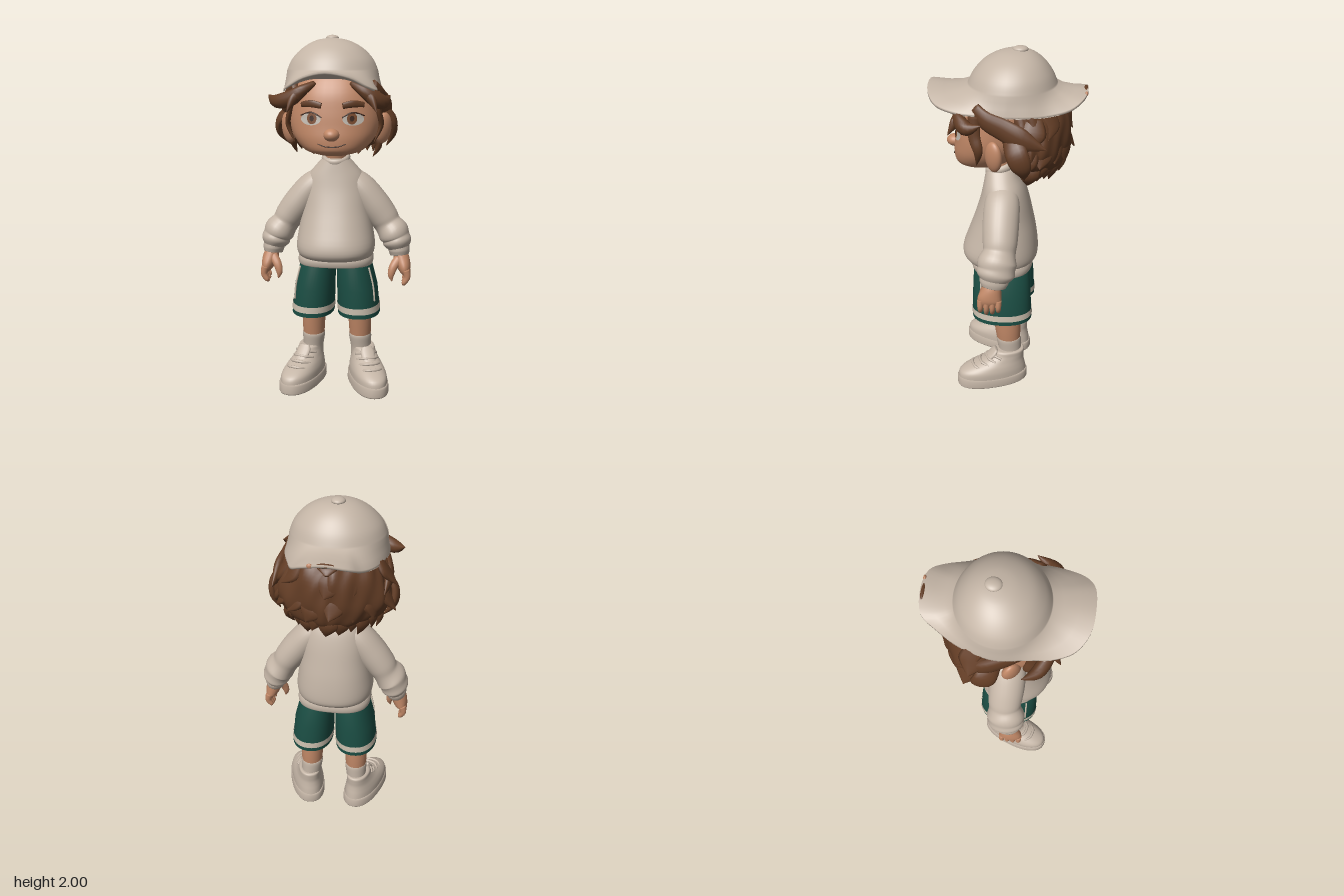
import * as THREE from 'three';

const mat = (name, color, side = THREE.FrontSide) => {
  const m = new THREE.MeshStandardMaterial({ color, side });
  m.name = name;
  return m;
};

// smooth resampling of rows of numbers
function spline(rows, n) {
  const out = [], last = rows.length - 1;
  for (let k = 0; k <= n; k++) {
    const u = (k / n) * last, i = Math.min(Math.floor(u), last - 1), t = u - i;
    const [a, b, c, d] = [rows[Math.max(i - 1, 0)], rows[i], rows[i + 1], rows[Math.min(i + 2, last)]];
    out.push(b.map((q, j) => 0.5 * (2 * q + (c[j] - a[j]) * t + (2 * a[j] - 5 * q + 4 * c[j] - d[j]) * t * t
      + (3 * q - a[j] - 3 * c[j] + d[j]) * t * t * t)));
  }
  return out;
}

// surface through closed loops of points, optionally capped
function skinLoops(loops, caps = true) {
  const n = loops[0].length, pos = loops.flat().flatMap((p) => [p.x, p.y, p.z]), idx = [];
  for (let i = 0; i < loops.length - 1; i++) for (let j = 0; j < n; j++) {
    const a = i * n + j, b = i * n + (j + 1) % n;
    idx.push(a, b, b + n, a, b + n, a + n);
  }
  if (caps) [0, loops.length - 1].forEach((r) => {
    const c = loops[r].reduce((s, p) => s.add(p), new THREE.Vector3()).divideScalar(n), k = pos.length / 3;
    pos.push(c.x, c.y, c.z);
    for (let j = 0; j < n; j++) {
      const a = r * n + j, b = r * n + (j + 1) % n;
      idx.push(k, ...(r ? [a, b] : [b, a]));
    }
  });
  const g = new THREE.BufferGeometry();
  g.setAttribute('position', new THREE.Float32BufferAttribute(pos, 3));
  g.setIndex(idx);
  g.computeVertexNormals();
  return g;
}

// stacked horizontal sections, rows are [y, centreX, centreZ, radiusX, radiusZ]
function loft(rows, { n = 28, power = 2, seg = 40, caps = true, ripple = () => 1 } = {}) {
  const pw = (v) => Math.sign(v) * Math.abs(v) ** (2 / power);
  return skinLoops((n ? spline(rows, n) : rows).map(([y, cx, cz, rx, rz]) => Array.from({ length: seg }, (_, j) => {
    const t = (j / seg) * Math.PI * 2, k = ripple(t, y);
    return new THREE.Vector3(cx + rx * k * pw(Math.cos(t)), y, cz - rz * k * pw(Math.sin(t)));
  })), caps);
}

// tapered sweep, rows are [x, y, z, radiusAlongRef, radiusAcross]
function sweep(rows, { ref = [1, 0, 0], n = 16, seg = 14 } = {}) {
  const s = spline(rows, n), p = s.map((r) => new THREE.Vector3(r[0], r[1], r[2])), R = new THREE.Vector3(...ref);
  return skinLoops(s.map((r, i) => {
    const T = p[Math.min(i + 1, n)].clone().sub(p[Math.max(i - 1, 0)]).normalize();
    const N = R.clone().addScaledVector(T, -R.dot(T)).normalize(), B = T.clone().cross(N);
    return Array.from({ length: seg }, (_, j) => {
      const t = (j / seg) * Math.PI * 2;
      return p[i].clone().addScaledVector(N, r[3] * Math.cos(t)).addScaledVector(B, r[4] * Math.sin(t));
    });
  }));
}

const ball = (x, y, z, a, b, c) => new THREE.SphereGeometry(1, 28, 20).scale(a, b, c).translate(x, y, z);

export function createModel() {
  const cream = mat('cream cloth', 0xc4b5a6), skin = mat('skin', 0xc08766), brown = mat('brown hair', 0x633d25);
  const green = mat('green cloth', 0x1b4e44), white = mat('eye white', 0xbfb8ae), iris = mat('iris', 0x7a4a2c);
  const dark = mat('dark line', 0x3a241a), trim = mat('trim', 0xcbbfae, THREE.DoubleSide);
  const root = new THREE.Group();
  const add = (name, geo, m, parent = root) => {
    const o = new THREE.Mesh(geo, m);
    o.name = name;
    parent.add(o);
    return o;
  };
  const flip = (s, rows) => rows.map(([x, ...r]) => [s * x, ...r]);
  const flipLoft = (s, rows) => rows.map(([y, x, ...r]) => [y, s * x, ...r]);

  // head and neck
  const headRows = [[1.365, 0, 0.16, 0.07, 0.07], [1.39, 0, 0.14, 0.155, 0.14], [1.45, 0, 0.105, 0.215, 0.185],
    [1.52, 0, 0.075, 0.245, 0.207], [1.6, 0, 0.055, 0.25, 0.217], [1.7, 0, 0.03, 0.24, 0.22],
    [1.8, 0, 0, 0.2, 0.19], [1.88, 0, -0.01, 0.1, 0.1]];
  add('head', loft(headRows, { power: 2.15 }), skin);
  add('neck', sweep([[0, 1.26, 0.03, 0.064, 0.066], [0, 1.35, 0.045, 0.063, 0.066], [0, 1.44, 0.07, 0.066, 0.07]]), skin);
  add('nose', ball(0, 1.483, 0.288, 0.042, 0.034, 0.047), skin);

  // face details laid on the head surface
  const fine = spline(headRows, 200);
  const faceZ = (x, y) => {
    const [, , cz, rx, rz] = fine.find((r) => r[0] >= y);
    return cz + rz * (1 - Math.min(1, Math.abs(x / rx)) ** 2.15) ** (1 / 2.15);
  };
  const spot = (name, x, y, w, h, lift, m) => {
    const g = new THREE.CircleGeometry(1, 28).scale(w, h, 1).translate(x, y, 0), p = g.attributes.position;
    for (let i = 0; i < p.count; i++) p.setZ(i, faceZ(p.getX(i), p.getY(i)) + lift);
    g.computeVertexNormals();
    add(name, g, m);
  };
  const line = (name, pts, m) => add(name, sweep(pts.map(([x, y, r]) => [x, y, faceZ(x, y) + 0.002, r, Math.min(r, 0.008)]),
    { ref: [0, 1, 0], seg: 10 }), m);
  for (const s of [1, -1]) {
    spot('eyeWhite', s * 0.112, 1.563, 0.055, 0.032, 0.004, white);
    spot('iris', s * 0.106, 1.567, 0.026, 0.03, 0.006, iris);
    spot('pupil', s * 0.106, 1.567, 0.012, 0.015, 0.008, dark);
    line('upperLid', [[s * 0.054, 1.572, 0.003], [s * 0.11, 1.597, 0.005], [s * 0.17, 1.58, 0.003]], dark);
    line('eyebrow', [[s * 0.056, 1.632, 0.016], [s * 0.11, 1.642, 0.019], [s * 0.165, 1.637, 0.014]], brown);
    const ear = add('ear', ball(0, 0, 0, 0.032, 0.085, 0.055), skin);
    ear.position.set(s * 0.262, 1.5, 0.05);
    ear.rotation.set(-0.12, s * -0.7, s * -0.15);
  }
  line('mouth', [[-0.075, 1.436, 0.002], [-0.03, 1.421, 0.003], [0.03, 1.421, 0.003], [0.075, 1.436, 0.002]], dark);

  // hair mass behind the head
  add('backHair', loft([[1.355, 0, -0.14, 0.12, 0.1], [1.4, -0.01, -0.15, 0.23, 0.16], [1.48, -0.015, -0.145, 0.295, 0.19],
    [1.56, -0.015, -0.14, 0.3, 0.2], [1.66, -0.02, -0.12, 0.27, 0.21], [1.74, -0.02, -0.08, 0.24, 0.2],
    [1.8, -0.02, -0.04, 0.18, 0.15]],
  { seg: 96, power: 1.65, ripple: (t, y) => 1 + 0.03 * Math.sin(9 * t + y * 14) + 0.015 * Math.sin(17 * t - y * 20) }), brown);

  // pointed tufts round the back, in three tiers
  [[1.5, 1.41, 1.335, 0.2, 0.25, 0.235, 11], [1.58, 1.5, 1.44, 0.25, 0.295, 0.335, 8], [1.7, 1.63, 1.57, 0.23, 0.275, 0.32, 7]]
    .forEach(([y0, y1, y2, r0, r1, r2, n], k) => {
      for (let i = 0; i < n; i++) {
        const f = -1.6 + (3.2 * (i + (k % 2) * 0.3)) / (n - 0.7), w = 0.02 * Math.sin(i * 2.4 + k);
        const q = 1 - 0.15 * Math.abs(Math.sin(2 * f)), tan = [Math.cos(f), 0, Math.sin(f)];
        const at = (r, y, a, b, sw) => [-0.015 + q * r * Math.sin(f + sw), y, -0.13 - q * r * 0.68 * Math.cos(f + sw), a, b];
        add('hairTuft', sweep([at(r0, y0 + w, 0.05, 0.022, 0), at(r1, y1 + w, 0.055 + k * 0.008, 0.022, 0.05),
          at(r2 + w, y2 + w, 0.002, 0.002, 0.12)], { ref: tan, n: 10, seg: 10 }), brown);
      }
    });

  // fringe, temple and side locks
  for (const s of [1, -1]) {
    const e = s < 0 ? 0.04 : 0;
    add('fringeLock', sweep(flip(s, [[0.1, 1.745, 0.2, 0.015, 0.02], [0.16, 1.71, 0.235, 0.03, 0.028],
      [0.22, 1.67, 0.225, 0.042, 0.034], [0.265 + e, 1.65, 0.18, 0.036, 0.034], [0.297 + e * 1.6, 1.68, 0.11, 0.002, 0.002]]),
    { ref: [0, 1, 0] }), brown);
    add('sideLock', sweep(flip(s, [[0.2, 1.73, 0.15, 0.04, 0.025], [0.235, 1.685, 0.09, 0.05, 0.028],
      [0.252 + e / 2, 1.645, 0, 0.06, 0.03], [0.275 + e / 2, 1.6, -0.1, 0.06, 0.03], [0.29, 1.56, -0.22, 0.002, 0.002]]),
    { ref: [0, 1, 0] }), brown);
    add('earLock', sweep(flip(s, [[0.24, 1.6, -0.04, 0.03, 0.05], [0.305 + e / 2, 1.54, -0.07, 0.025, 0.06],
      [0.31 + e / 2, 1.46, -0.1, 0.022, 0.05], [0.275, 1.385, -0.11, 0.002, 0.002]])), brown);
    add('templeLock', sweep(flip(s, [[0.22, 1.7, 0.15, 0.025, 0.035], [0.24, 1.6, 0.15, 0.016, 0.032],
      [0.252, 1.52, 0.13, 0.014, 0.024], [0.215, 1.43, 0.145, 0.002, 0.002]])), brown);
    add('browTip', sweep(flip(s, [[0.15, 1.71, 0.225, 0.025, 0.02], [0.205, 1.665, 0.25, 0.028, 0.022],
      [0.235, 1.6, 0.288, 0.002, 0.002]]), { ref: [0, 1, 0.2] }), brown);
  }
  add('napeTuft', sweep([[-0.02, 1.72, -0.2, 0.07, 0.02], [-0.02, 1.74, -0.32, 0.06, 0.018], [-0.02, 1.715, -0.37, 0.01, 0.005]]), brown);

  // brim outline points [x, y, z], lifted at front and back
  const edge = spline([[0.25, 1.715, 0], [0.242, 1.715, -0.11], [0.205, 1.715, -0.22], [0.165, 1.735, -0.33], [0.1, 1.775, -0.4],
    [-0.015, 1.795, -0.42], [-0.13, 1.775, -0.4], [-0.185, 1.735, -0.32], [-0.24, 1.715, -0.22], [-0.282, 1.715, -0.1],
    [-0.292, 1.715, 0], [-0.272, 1.715, 0.12], [-0.258, 1.72, 0.24], [-0.215, 1.745, 0.345], [-0.13, 1.79, 0.405],
    [-0.02, 1.812, 0.418], [0.1, 1.79, 0.408], [0.18, 1.745, 0.355], [0.222, 1.72, 0.24], [0.235, 1.715, 0.12], [0.25, 1.715, 0]], 80)
    .slice(0, -1).map((p) => new THREE.Vector3(...p));

  // crown and brim in one surface, crown rows are [y, centreX, centreZ, radiusX, radiusZ]
  const ring = ([y, cx, cz, rx, rz]) => edge.map((p) => {
    const a = Math.atan2((p.z + 0.02) / 0.236, (p.x + 0.025) / 0.253);
    return new THREE.Vector3(cx + rx * Math.cos(a), y, cz + rz * Math.sin(a));
  });
  const drop = (loop, d) => loop.map((p) => p.clone().setY(p.y - d));
  const crown = spline([[1.808, -0.025, -0.022, 0.252, 0.238], [1.87, -0.025, -0.025, 0.224, 0.207], [1.93, -0.025, -0.03, 0.165, 0.155],
    [1.97, -0.028, -0.04, 0.09, 0.085], [1.984, -0.03, -0.045, 0.01, 0.01]], 18).map(ring);
  const blend = (t, sag) => edge.map((p, i) => p.clone().lerp(crown[0][i], t).setY(p.y + (crown[0][i].y - p.y) * t - sag));
  const top = [blend(0.4, 0.007), blend(0.75, 0.007)];
  add('cap', skinLoops([drop(crown[0], 0.04), drop(top[0], 0.018), drop(edge, 0.014), drop(edge, 0.007), edge, ...top, ...crown]), cream);
  add('capButton', ball(-0.03, 1.982, -0.062, 0.037, 0.018, 0.041), cream);
  add('backBrimPatch', ball(-0.02, 1.785, -0.407, 0.05, 0.0125, 0.013), brown);
  add('backBrimSpot', ball(0.055, 1.782, -0.41, 0.014, 0.0125, 0.008), skin);
  add('backBrimStud', ball(-0.13, 1.766, -0.36, 0.008, 0.008, 0.008), dark);

  // sweater body, hem and collar
  add('sweater', loft([[0.765, 0, 0.03, 0.195, 0.165], [0.795, 0, 0.04, 0.215, 0.208], [0.85, 0, 0.042, 0.222, 0.215],
    [0.95, 0, 0.03, 0.207, 0.192], [1.05, 0, 0.022, 0.19, 0.164], [1.15, 0, 0.018, 0.18, 0.137], [1.23, 0, 0.022, 0.158, 0.115],
    [1.29, 0, 0.033, 0.112, 0.093], [1.335, 0, 0.04, 0.072, 0.078]], { power: 2.25, seg: 56 }), cream);
  add('sweaterHem', loft([[0.733, 0, 0.028, 0.204, 0.166], [0.737, 0, 0.028, 0.212, 0.174], [0.765, 0, 0.03, 0.214, 0.178],
    [0.79, 0, 0.03, 0.205, 0.17]], { power: 2.7, n: 8, seg: 56 }), cream);
  const collar = add('collar', new THREE.TorusGeometry(0.066, 0.014, 12, 40).rotateX(Math.PI / 2).scale(1, 1.5, 1.1), cream);
  collar.position.set(0, 1.335, 0.042);
  collar.rotation.x = 0.34;

  for (const s of [1, -1]) {
    // sleeve with soft folds, and cuff
    add('sleeve', sweep(flip(s, [[0.05, 1.25, 0.02, 0.045, 0.07], [0.13, 1.175, 0.02, 0.078, 0.096], [0.205, 1.08, 0.02, 0.088, 0.1],
      [0.265, 1.0, 0.018, 0.084, 0.095], [0.293, 0.955, 0.02, 0.077, 0.09], [0.325, 0.91, 0.028, 0.088, 0.108],
      [0.34, 0.88, 0.03, 0.08, 0.102], [0.35, 0.85, 0.035, 0.08, 0.104], [0.358, 0.815, 0.04, 0.055, 0.075]]), { n: 40, seg: 28 }), cream);
    add('cuff', sweep(flip(s, [[0.355, 0.84, 0.04, 0.06, 0.08], [0.36, 0.81, 0.042, 0.06, 0.08], [0.363, 0.785, 0.045, 0.054, 0.07]]), { seg: 24 }), cream);

    // hand
    add('palm', sweep(flip(s, [[0.362, 0.81, 0.045, 0.036, 0.042], [0.376, 0.76, 0.055, 0.044, 0.055], [0.392, 0.71, 0.065, 0.036, 0.066],
      [0.398, 0.68, 0.065, 0.02, 0.05]]), { seg: 20 }), skin);
    for (let i = 0; i < 4; i++) {
      const z = 0.015 + i * 0.033, l = 0.012 * Math.abs(i - 1.7);
      add('finger', sweep(flip(s, [[0.4, 0.71, z, 0.021, 0.018], [0.408, 0.66 + l / 2, z, 0.018, 0.016],
        [0.39, 0.618 + l, z + 0.002, 0.013, 0.012], [0.384, 0.609 + l, z + 0.002, 0.003, 0.003]])), skin);
    }
    add('thumb', sweep(flip(s, [[0.36, 0.77, 0.08, 0.026, 0.02], [0.33, 0.725, 0.105, 0.024, 0.02], [0.318, 0.68, 0.115, 0.018, 0.016],
      [0.324, 0.645, 0.118, 0.003, 0.003]])), skin);

    // hollow shorts leg with trim band and side stripe
    add('shortsLeg', loft(flipLoft(s, [[0.53, 0.133, 0.022, 0.108, 0.155], [0.45, 0.133, 0.022, 0.11, 0.16], [0.437, 0.133, 0.022, 0.112, 0.162],
      [0.437, 0.133, 0.022, 0.122, 0.173], [0.6, 0.122, 0.025, 0.116, 0.168], [0.73, 0.104, 0.028, 0.101, 0.16], [0.76, 0.1, 0.03, 0.09, 0.14]]),
    { n: 0, power: 2.2, seg: 48 }), green);
    add('hemBand', loft(flipLoft(s, [[0.462, 0.132, 0.022, 0.1243, 0.1755], [0.498, 0.129, 0.023, 0.1228, 0.1742]]),
      { n: 0, power: 2.2, seg: 48, caps: false }), trim);
    add('sideStripe', sweep(flip(s, [[0.2275, 0.53, 0.136, 0.005, 0.005], [0.219, 0.62, 0.136, 0.005, 0.005], [0.194, 0.725, 0.136, 0.005, 0.005]])), trim);

    // leg and sock
    add('leg', loft(flipLoft(s, [[0.24, 0.138, -0.018, 0.06, 0.066], [0.34, 0.137, -0.012, 0.066, 0.075], [0.45, 0.133, -0.003, 0.068, 0.081],
      [0.56, 0.128, 0.01, 0.07, 0.085]])), skin);
    add('sock', loft(flipLoft(s, [[0.15, 0.146, -0.025, 0.062, 0.07], [0.2, 0.142, -0.024, 0.06, 0.068], [0.265, 0.138, -0.018, 0.066, 0.073],
      [0.285, 0.138, -0.017, 0.064, 0.071]])), cream);

    // shoe turned outward: sole, upper, tongue and laces
    const shoe = new THREE.Group();
    shoe.name = 'shoe';
    shoe.position.set(s * 0.19, 0, 0.078);
    shoe.rotation.y = s * 0.33;
    root.add(shoe);
    add('sole', loft([[0, 0, 0, 0.09, 0.2], [0, 0, 0, 0.1, 0.21], [0.008, 0, 0, 0.104, 0.214], [0.05, 0, 0, 0.102, 0.213], [0.06, 0, 0, 0.094, 0.206]],
      { n: 0, power: 2.3, seg: 48 }), cream, shoe);
    add('upper', loft([[0.05, 0, 0, 0.097, 0.208], [0.09, 0, -0.002, 0.095, 0.2], [0.12, 0, -0.024, 0.087, 0.172], [0.15, 0, -0.062, 0.075, 0.13],
      [0.18, 0, -0.094, 0.067, 0.1], [0.205, 0, -0.105, 0.064, 0.09], [0.212, 0, -0.107, 0.054, 0.077]], { power: 2.2, seg: 48 }), cream, shoe);
    add('tongue', sweep([[0, 0.14, 0.05, 0.035, 0.014], [0, 0.19, -0.005, 0.042, 0.016], [0, 0.218, -0.025, 0.03, 0.01]]), cream, shoe);
    for (const [y, z] of [[0.13, 0.118], [0.148, 0.073], [0.167, 0.031], [0.187, -0.002]])
      add('lace', sweep([[-0.062, y - 0.012, z - 0.04, 0.007, 0.007], [-0.03, y + 0.002, z - 0.003, 0.008, 0.008],
        [0.03, y + 0.002, z - 0.003, 0.008, 0.008], [0.062, y - 0.012, z - 0.04, 0.007, 0.007]], { ref: [0, 1, 0], seg: 8 }), cream, shoe);
  }
  return root;
}
